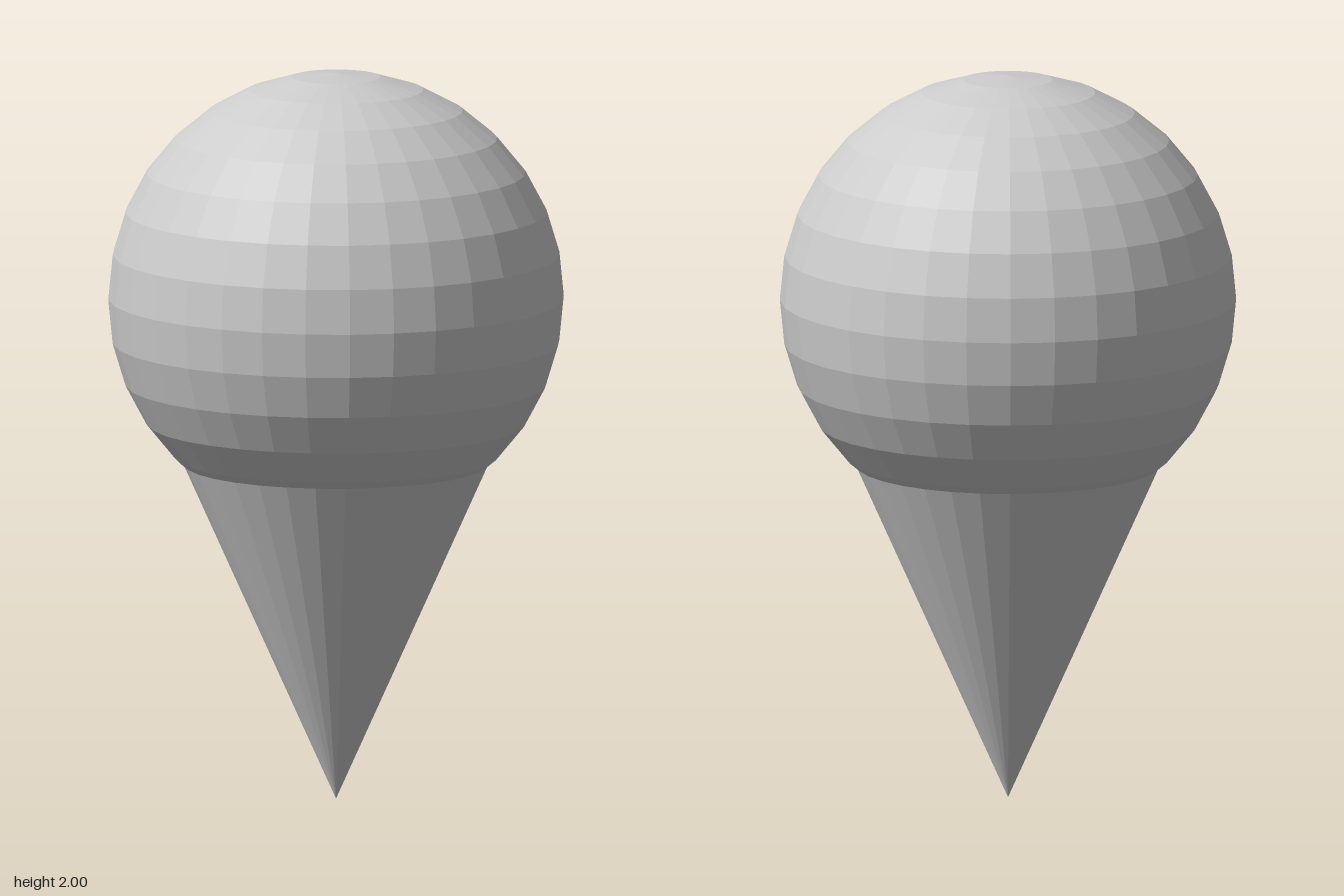
import * as THREE from 'three';

export function createModel() {
  const model = new THREE.Group();
  const material = new THREE.MeshStandardMaterial({ color: 0xcccccc, flatShading: true });
  const radius = 0.62;
  const centreY = 2 - radius;
  const sides = 32;

  // Faceted ball on top
  const scoop = new THREE.Mesh(new THREE.SphereGeometry(radius, sides, 16), material);
  scoop.name = 'scoop';
  scoop.position.y = centreY;
  model.add(scoop);

  // Cone standing on its tip, its wide end sunk into the ball
  const coneHeight = 1.2;
  const coneGeometry = new THREE.ConeGeometry(coneHeight * radius / centreY, coneHeight, sides);
  coneGeometry.rotateX(Math.PI);
  const cone = new THREE.Mesh(coneGeometry, material);
  cone.name = 'cone';
  cone.position.y = coneHeight / 2;
  model.add(cone);

  return model;
}
